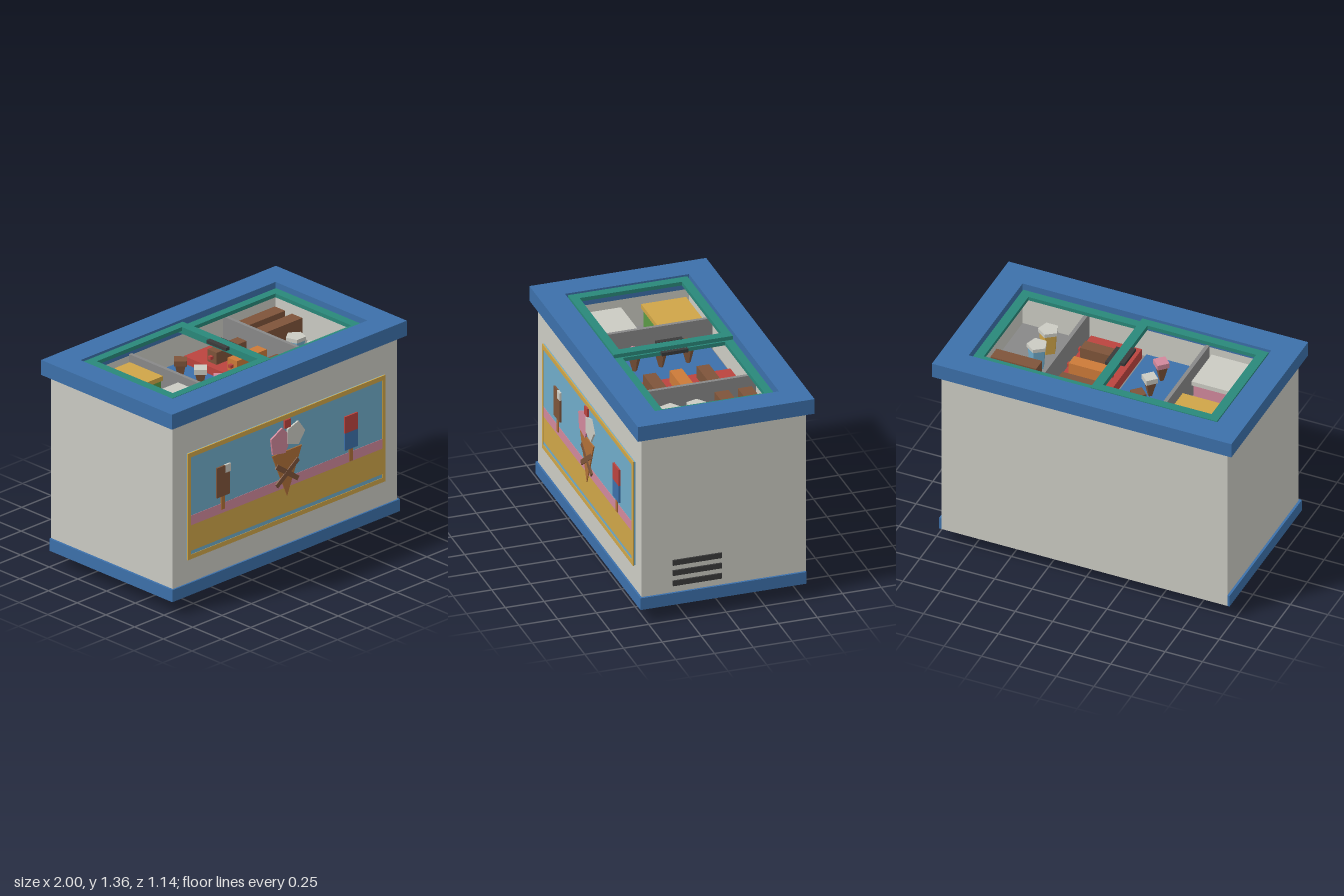
import * as THREE from 'three';

const C = {
  body: 0xcbcbc3, blue: 0x3c70aa, gold: 0xcfa548, sky: 0x6fabc9, pink: 0xd1889c, red: 0xbb443e,
  brown: 0x7e543a, orange: 0xcc7a38, waffle: 0xb07038, teal: 0x29887a, dark: 0x3a3a3a,
  grey: 0x888888, green: 0x5a9a45
};
const mats = {};
function mat(name) {
  return (mats[name] ??= new THREE.MeshStandardMaterial({ color: C[name], flatShading: true }));
}

function add(parent, name, geometry, color, x = 0, y = 0, z = 0) {
  const mesh = new THREE.Mesh(geometry, mat(color));
  mesh.name = name;
  mesh.position.set(x, y, z);
  parent.add(mesh);
  return mesh;
}

// Box given by its minimum and maximum on each axis
function box(parent, name, color, x0, x1, y0, y1, z0, z1) {
  return add(parent, name, new THREE.BoxGeometry(x1 - x0, y1 - y0, z1 - z0), color,
    (x0 + x1) / 2, (y0 + y1) / 2, (z0 + z1) / 2);
}

function rectPath(PathType, x0, x1, y0, y1) {
  return new PathType([[x0, y0], [x1, y0], [x1, y1], [x0, y1]].map(p => new THREE.Vector2(...p)));
}

// Rectangular frame with a rectangular hole, extruded along z
function frame(outer, inner, depth) {
  const shape = rectPath(THREE.Shape, ...outer);
  shape.holes.push(rectPath(THREE.Path, ...inner));
  return new THREE.ExtrudeGeometry(shape, { depth, bevelEnabled: false });
}
const flatFrame = (outer, inner, depth) => frame(outer, inner, depth).rotateX(-Math.PI / 2);

function group(parent, name) {
  const g = new THREE.Group();
  g.name = name;
  parent.add(g);
  return g;
}

// Flat decoration in front of the poster
function buildPoster(root) {
  const g = group(root, 'frontPoster');
  box(g, 'posterPanel', 'sky', -0.838, 0.838, 0.332, 1.038, 0.53, 0.543);
  add(g, 'posterBorder', frame([-0.84, 0.84, 0.33, 1.04], [-0.815, 0.815, 0.36, 1.01], 0.008), 'gold', 0, 0, 0.538);
  box(g, 'pinkStripe', 'pink', -0.815, 0.815, 0.555, 0.62, 0.538, 0.545);
  box(g, 'goldField', 'gold', -0.815, 0.815, 0.385, 0.555, 0.538, 0.545);

  // Waffle cone with two scoops and a cherry
  const cone = new THREE.Shape([[-0.125, 0.8], [0, 0.5], [0.125, 0.8]].map(p => new THREE.Vector2(...p)));
  add(g, 'waffleCone', new THREE.ExtrudeGeometry(cone, { depth: 0.01, bevelEnabled: false }), 'waffle', 0, 0, 0.541);
  for (const s of [-1, 1]) {
    const bar = add(g, 'waffleBar', new THREE.BoxGeometry(0.225, 0.032, 0.01), 'brown', 0, 0.655, 0.551 + s * 0.001);
    bar.rotation.z = s * 0.62;
  }
  for (const [color, x, y, r, turn, z] of [['pink', -0.06, 0.875, 0.092, 8, 0.55], ['body', 0.065, 0.895, 0.082, 0, 0.552]]) {
    const scoop = new THREE.CylinderGeometry(r, r, 0.012, 5).rotateX(Math.PI / 2);
    // Brings the first corner of the pentagon to the +x direction
    add(g, 'scoop', scoop, color, x, y, z).rotation.z = Math.PI / 2 + turn * Math.PI / 180;
  }
  box(g, 'cherry', 'red', -0.025, 0.025, 0.955, 1.01, 0.542, 0.558);

  // Ice pops
  box(g, 'chocolatePop', 'brown', -0.6, -0.49, 0.67, 0.87, 0.542, 0.554);
  box(g, 'popBite', 'body', -0.53, -0.485, 0.82, 0.872, 0.543, 0.557);
  box(g, 'popStick', 'waffle', -0.56, -0.53, 0.58, 0.68, 0.542, 0.55);
  box(g, 'redPopTop', 'red', 0.49, 0.6, 0.76, 0.87, 0.542, 0.554);
  box(g, 'bluePopBottom', 'blue', 0.49, 0.6, 0.645, 0.76, 0.542, 0.554);
  box(g, 'popStick', 'waffle', 0.53, 0.56, 0.56, 0.65, 0.542, 0.55);
}

function buildContents(root) {
  const g = group(root, 'contents');
  // Stacked cartons
  box(g, 'cartonBase', 'green', -0.75, -0.46, 1.06, 1.21, -0.35, -0.08);
  box(g, 'cartonLid', 'gold', -0.77, -0.45, 1.21, 1.24, -0.36, -0.07);
  box(g, 'tubBase', 'pink', -0.75, -0.46, 1.06, 1.21, 0.07, 0.35);
  box(g, 'tubLid', 'body', -0.77, -0.45, 1.21, 1.24, 0.06, 0.36);
  // Trays
  box(g, 'blueTray', 'blue', -0.365, -0.01, 1.06, 1.1, -0.37, 0.37);
  box(g, 'redTray', 'red', 0.02, 0.36, 1.06, 1.13, -0.37, 0.37);

  [['brown', -0.175], ['body', 0], ['pink', 0.17]].forEach(([color, z]) => {
    add(g, 'smallCone', new THREE.CylinderGeometry(0.045, 0.015, 0.11, 4), 'brown', -0.2, 1.155, z);
    add(g, 'smallConeTop', new THREE.CylinderGeometry(0.055, 0.055, 0.035, 4), color, -0.2, 1.225, z);
  });
  [['brown', -0.175], ['orange', 0], ['brown', 0.17]].forEach(([color, z]) => {
    box(g, 'iceBar', color, 0.07, 0.325, 1.13, 1.21, z - 0.04, z + 0.04);
    box(g, 'wrapperEnds', 'red', 0.045, 0.35, 1.16, 1.18, z - 0.012, z + 0.012);
  });
  for (const z of [-0.305, -0.155]) box(g, 'brownBox', 'brown', 0.47, 0.775, 1.06, 1.23, z - 0.045, z + 0.045);
  [['sky', 0.04], ['gold', 0.21]].forEach(([color, z]) => {
    add(g, 'cup', new THREE.CylinderGeometry(0.058, 0.05, 0.14, 5).rotateY(Math.PI), color, 0.57, 1.13, z);
    add(g, 'cupLid', new THREE.CylinderGeometry(0.066, 0.066, 0.025, 5).rotateY(Math.PI), 'body', 0.57, 1.212, z);
  });
}

export function createModel() {
  const root = new THREE.Group();
  root.name = 'iceCreamFreezer';

  // Cabinet walls, open underneath
  const cabinet = group(root, 'cabinet');
  const t = 0.006;
  for (const s of [-1, 1]) {
    add(cabinet, 'longWall', new THREE.BoxGeometry(1.91, 1.17, t), 'body', 0, 0.675, s * (0.53 - t / 2));
    add(cabinet, 'endWall', new THREE.BoxGeometry(t, 1.17, 1.06), 'body', s * (0.955 - t / 2), 0.675, 0);
    add(cabinet, 'endSkirt', new THREE.BoxGeometry(0.015, 0.08, 1.07), 'blue', s * 0.9625, 0.13, 0.005);
  }
  box(cabinet, 'frontSkirt', 'blue', -0.97, 0.97, 0.09, 0.17, 0.53, 0.542);

  // Rim around the top opening
  add(root, 'topRim', flatFrame([-1, 1, -0.57, 0.57], [-0.83, 0.83, -0.4, 0.4], 0.1), 'blue', 0, 1.26, 0);

  // Inner tub with dividers
  const tub = group(root, 'innerTub');
  add(tub, 'tubWalls', flatFrame([-0.84, 0.84, -0.41, 0.41], [-0.83, 0.83, -0.4, 0.4], 0.22), 'body', 0, 1.04, 0);
  box(tub, 'tubFloor', 'grey', -0.84, 0.84, 1.04, 1.06, -0.41, 0.41);
  for (const x of [-0.405, 0.395]) box(tub, 'divider', 'grey', x - 0.012, x + 0.012, 1.06, 1.27, -0.4, 0.4);
  buildContents(root);

  // Sliding door frames and their handles
  const doors = group(root, 'slidingDoors');
  add(doors, 'upperDoorFrame', flatFrame([-0.82, 0.025, -0.385, 0.385], [-0.76, -0.035, -0.33, 0.33], 0.025), 'teal', 0, 1.328, 0);
  add(doors, 'lowerDoorFrame', flatFrame([-0.025, 0.82, -0.385, 0.385], [0.035, 0.76, -0.33, 0.33], 0.025), 'teal', 0, 1.302, 0);
  box(doors, 'upperHandle', 'dark', -0.068, -0.035, 1.335, 1.355, -0.085, 0.085);
  box(doors, 'lowerHandle', 'dark', 0.035, 0.062, 1.31, 1.332, -0.085, 0.085);

  buildPoster(root);

  // Side vents
  for (let i = 0; i < 3; i++) {
    box(root, 'sideVent', 'dark', 0.95, 0.966, 0.215 + i * 0.07, 0.25 + i * 0.07, 0.015, 0.33);
  }

  // Casters
  for (const x of [-0.772, 0.772]) {
    for (const z of [-0.372, 0.372]) {
      const caster = group(root, 'caster');
      caster.position.set(x, 0, z);
      add(caster, 'casterPlate', new THREE.BoxGeometry(0.07, 0.036, 0.07), 'grey', 0, 0.068, 0);
      const wheel = new THREE.CylinderGeometry(0.034, 0.034, 0.028, 5).rotateZ(Math.PI / 2).rotateX(0.35);
      add(caster, 'casterWheel', wheel, 'dark', 0, 0.034, 0);
    }
  }
  return root;
}
